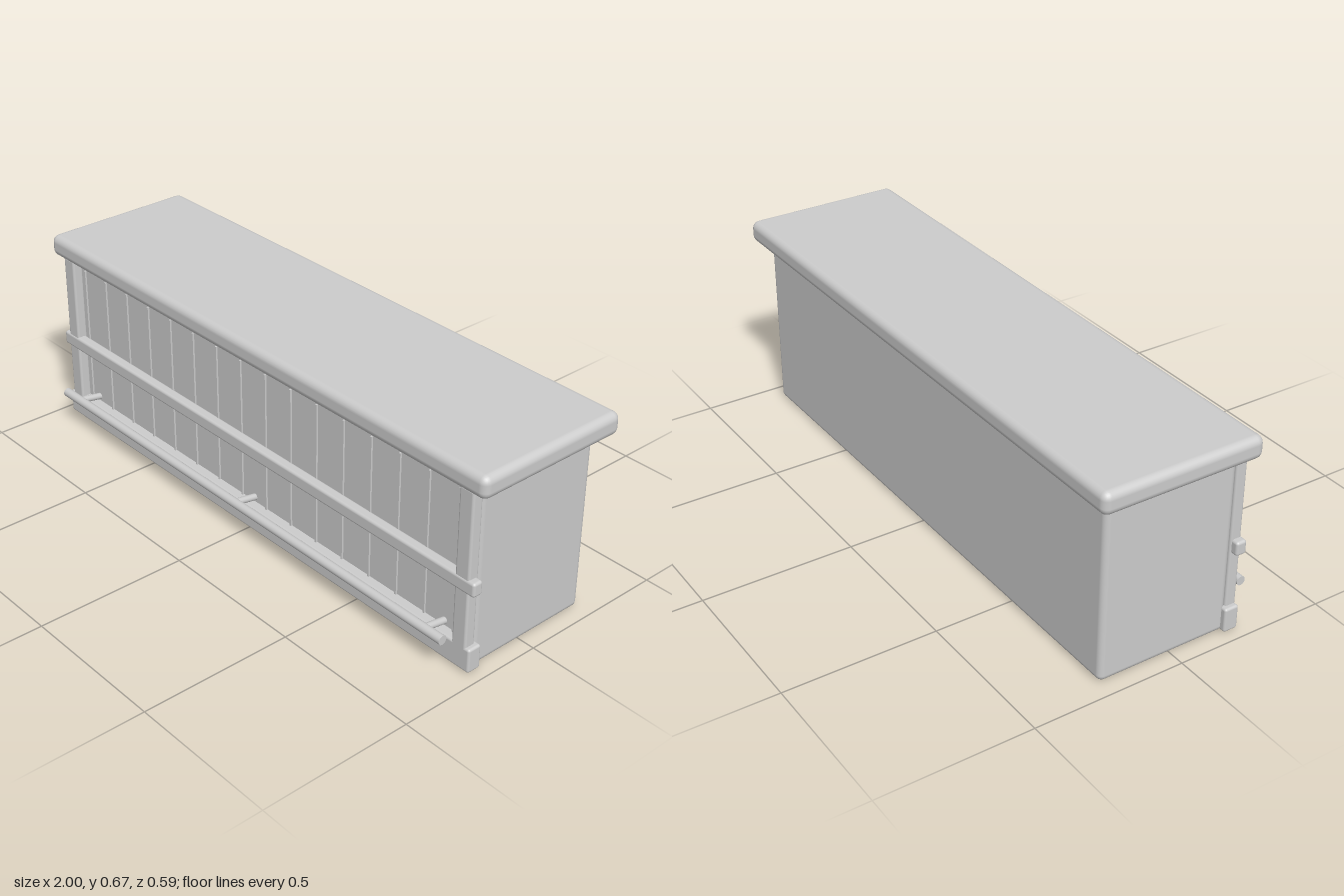
import * as THREE from 'three';
import { RoundedBoxGeometry } from 'three/addons/geometries/RoundedBoxGeometry.js';

export function createModel() {
  const model = new THREE.Group();
  model.name = 'barCounter';
  const grey = new THREE.MeshStandardMaterial({ color: 0xcccccc });
  grey.name = 'plain grey';

  const add = (name, geometry) => {
    const mesh = new THREE.Mesh(geometry, grey);
    mesh.name = name;
    model.add(mesh);
    return mesh;
  };

  // Rounded block given by its limits on each axis
  const block = (name, [x0, x1], [y0, y1], [z0, z1], radius) => {
    const mesh = add(name, new RoundedBoxGeometry(x1 - x0, y1 - y0, z1 - z0, 3, radius));
    mesh.position.set((x0 + x1) / 2, (y0 + y1) / 2, (z0 + z1) / 2);
    return mesh;
  };

  // Round bar between two points
  const bar = (name, from, to, radius) => {
    const a = new THREE.Vector3(...from), b = new THREE.Vector3(...to);
    const mesh = add(name, new THREE.CylinderGeometry(radius, radius, a.distanceTo(b), 20));
    mesh.position.copy(a).add(b).multiplyScalar(0.5);
    mesh.quaternion.setFromUnitVectors(new THREE.Vector3(0, 1, 0), b.sub(a).normalize());
    return mesh;
  };

  // Main volumes
  block('cabinet', [-0.947, 0.947], [0, 0.6], [-0.248, 0.197], 0.02);
  block('counterTop', [-1, 1], [0.593, 0.667], [-0.295, 0.243], 0.025);

  // Front trim
  block('baseboard', [-0.965, 0.965], [0.005, 0.086], [0.181, 0.23], 0.008);
  block('middleRail', [-0.972, 0.972], [0.268, 0.315], [0.197, 0.233], 0.009);
  for (const side of [-1, 1]) {
    const x = side * 0.922;
    block(side > 0 ? 'leftPost' : 'rightPost', [x - 0.027, x + 0.027], [0.006, 0.6], [0.192, 0.23], 0.008);
  }

  // Thin upright battens across the front panel
  for (let i = 0; i < 16; i++) {
    const batten = add('batten', new THREE.BoxGeometry(0.006, 0.5, 0.008));
    batten.position.set(-0.872 + i * 0.1163, 0.315, 0.199);
  }

  // Foot rail with its brackets
  bar('footRail', [-0.91, 0.117, 0.28], [0.91, 0.117, 0.28], 0.015);
  for (const x of [-0.835, 0, 0.835]) {
    bar('footRailBracket', [x, 0.101, 0.185], [x, 0.117, 0.28], 0.011);
  }
  return model;
}
